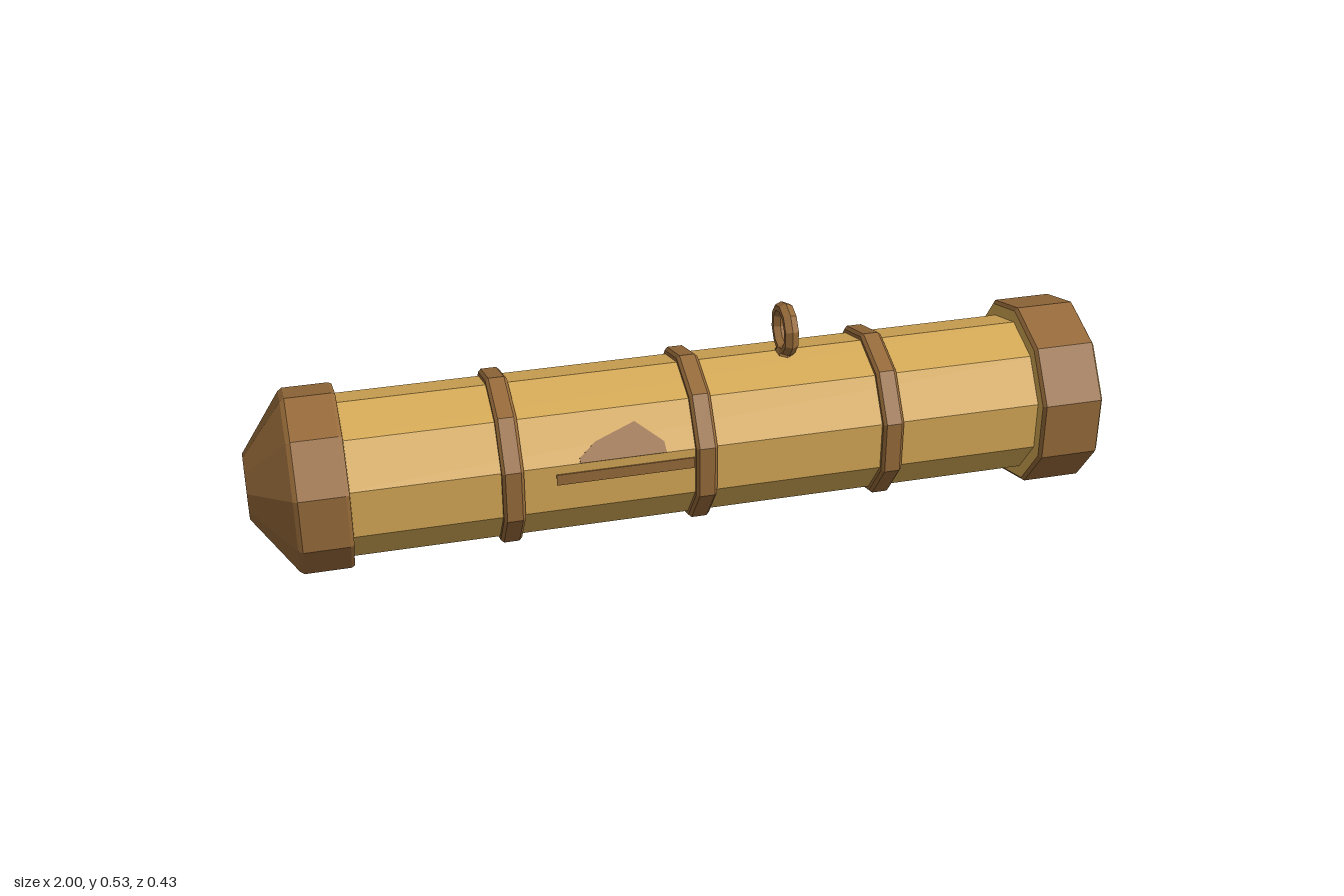
import * as THREE from 'three';

const SIDES = 10;
const AXIS_Y = 0.227;

export function createModel() {
  const group = new THREE.Group();
  group.name = 'tubeCase';
  const mat = (name, color) => {
    const m = new THREE.MeshStandardMaterial({ color, flatShading: true });
    m.name = name;
    return m;
  };
  const gold = mat('gold', 0xd4a855);
  const brown = mat('bronze brown', 0x966a39);
  const red = mat('red', 0x9a2d26);

  const add = (name, geometry, material, x = 0, y = 0, z = 0) => {
    const mesh = new THREE.Mesh(geometry, material);
    mesh.name = name;
    mesh.position.set(x, y, z);
    group.add(mesh);
    return mesh;
  };

  // Ten-sided turned part along x, from [x, radius] pairs in order of the surface
  const turned = (name, profile, material) => {
    const geo = new THREE.LatheGeometry(profile.map(([x, r]) => new THREE.Vector2(r, x)), SIDES);
    geo.rotateY(Math.PI / 2);
    geo.rotateZ(-Math.PI / 2);
    return add(name, geo, material, 0, AXIS_Y, 0);
  };

  // Body
  turned('body', [[-0.85, 0.188], [0.9, 0.188]], gold);

  // Pointed cap with gold inner face
  turned('pointedCap', [[-1, 0], [-1, 0.075], [-0.905, 0.207], [-0.895, 0.214], [-0.79, 0.214], [-0.782, 0.21]], brown);
  turned('pointedCapInnerFace', [[-0.782, 0.21], [-0.78, 0.186]], gold);

  // Flat cap with gold rims and a shallow recess
  turned('flatCapInnerFace', [[0.838, 0.186], [0.838, 0.217]], gold);
  turned('flatCap', [[0.838, 0.217], [0.845, 0.225], [0.982, 0.225]], brown);
  turned('flatCapRim', [[0.982, 0.225], [0.99, 0.212]], gold);
  turned('flatCapEnd', [[0.99, 0.212], [0.99, 0.161], [0.98, 0.148], [0.98, 0]], brown);

  // Bands around the body
  for (const x of [-0.42, 0.027, 0.475]) {
    turned('band', [
      [x - 0.025, 0.186], [x - 0.025, 0.197], [x - 0.018, 0.204],
      [x + 0.018, 0.204], [x + 0.025, 0.197], [x + 0.025, 0.186],
    ], brown);
  }

  // Red button with cut corners
  const h = 0.038, c = 0.012;
  const outline = new THREE.Shape([
    [-h, -h + c], [-h + c, -h], [h - c, -h], [h, -h + c],
    [h, h - c], [h - c, h], [-h + c, h], [-h, h - c],
  ].map(([x, y]) => new THREE.Vector2(x, y)));
  const button = new THREE.ExtrudeGeometry(outline, {
    depth: 0.014, bevelSize: 0.006, bevelThickness: 0.006, bevelSegments: 1,
  });
  button.rotateY(Math.PI / 2);
  add('button', button, red, 0.98, AXIS_Y, 0);

  // Hanging ring and its foot
  const ring = new THREE.TorusGeometry(0.052, 0.0135, 6, 10);
  ring.rotateZ(Math.PI / 2);
  ring.rotateY(Math.PI / 2);
  ring.scale(1.35, 1, 1);
  add('hangingRing', ring, brown, 0.263, 0.469, 0);
  add('ringFoot', new THREE.CylinderGeometry(0.018, 0.029, 0.022, 8), brown, 0.263, 0.413, 0);

  // Painted emblem: bar on the front facet, peak on the facet above
  const faceZ = 0.188 * Math.cos(Math.PI / SIDES);
  const edgeY = AXIS_Y + 0.188 * Math.sin(Math.PI / SIDES);
  add('emblemBar', new THREE.BoxGeometry(0.32, 0.027, 0.006), brown, -0.16, 0.25, faceZ);
  const peakShape = new THREE.Shape([
    [-0.265, 0.0], [-0.065, 0.0], [-0.068, 0.026], [-0.13, 0.08], [-0.225, 0.045], [-0.265, 0.012],
  ].map(([x, y]) => new THREE.Vector2(x, y)));
  const peak = add('emblemPeak', new THREE.ExtrudeGeometry(peakShape, { depth: 0.003, bevelEnabled: false }),
    brown, 0, edgeY, faceZ);
  peak.rotation.x = -Math.PI / 5;

  return group;
}
